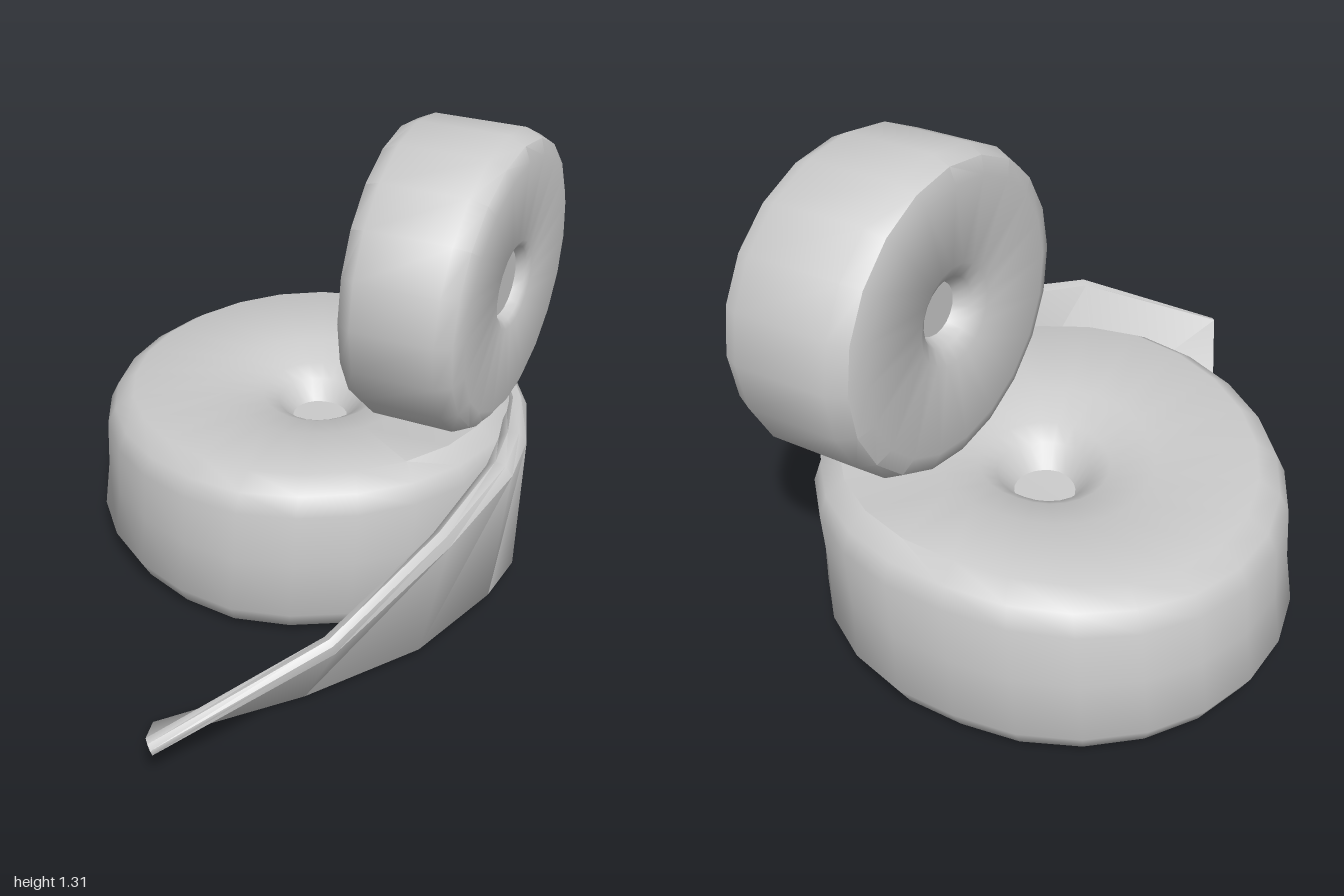
import * as THREE from 'three';
import { toCreasedNormals } from 'three/addons/utils/BufferGeometryUtils.js';

const material = new THREE.MeshStandardMaterial({ color: 0xcccccc });
const V = (x, y, z) => new THREE.Vector3(x, y, z);

// Dished roll with soft rims and flat-bottomed dimples; warp moves each vertex by a rule
function rollGeometry(profile, segments, warp) {
  const geometry = new THREE.LatheGeometry(profile.map(([r, y]) => new THREE.Vector2(r, y)), segments);
  const p = geometry.attributes.position;
  const v = new THREE.Vector3();
  for (let i = 0; i < p.count; i++) {
    v.fromBufferAttribute(p, i);
    warp(v);
    p.setXYZ(i, v.x, v.y, v.z);
  }
  return toCreasedNormals(geometry, 0.78);
}

// Thin bevelled strip lofted between an outer bottom edge and an outer top edge
function stripGeometry(stations) {
  const section = [[0.05, 0], [0.95, 0], [1, 0.3], [1, 0.7], [0.95, 1], [0.05, 1], [0, 0.7], [0, 0.3]];
  const n = section.length, last = stations.length - 1;
  const positions = [], index = [];
  stations.forEach(({ bottom, top, thick }, i) => {
    const a = stations[Math.max(i - 1, 0)], b = stations[Math.min(i + 1, last)];
    const along = b.top.clone().add(b.bottom).sub(a.top).sub(a.bottom);
    const inward = along.cross(top.clone().sub(bottom)).normalize().multiplyScalar(thick);
    for (const [s, t] of section) {
      positions.push(...bottom.clone().lerp(top, s).addScaledVector(inward, t).toArray());
    }
  });
  for (let i = 0; i < last; i++) {
    for (let j = 0; j < n; j++) {
      const a = i * n + j, b = i * n + (j + 1) % n;
      index.push(a, b, a + n, b, b + n, a + n);
    }
  }
  for (let j = 1; j < n - 1; j++) {
    index.push(0, j + 1, j, last * n, last * n + j, last * n + j + 1);
  }
  const geometry = new THREE.BufferGeometry();
  geometry.setAttribute('position', new THREE.Float32BufferAttribute(positions, 3));
  geometry.setIndex(index);
  return toCreasedNormals(geometry, 0.85);
}

export function createModel() {
  const model = new THREE.Group();

  // Large roll lying flat, slightly skewed, its top sinking toward the right-hand edge
  const largeRoll = new THREE.Mesh(rollGeometry([
    [0, 0.1], [0.11, 0.1], [0.13, 0.07], [0.17, 0.05], [0.3, 0.04], [0.57, 0.016], [0.62, 0.035],
    [0.655, 0.095], [0.645, 0.26], [0.648, 0.42], [0.625, 0.475], [0.57, 0.512],
    [0.3, 0.47], [0.18, 0.44], [0.13, 0.41], [0.085, 0.35], [0, 0.35]], 24, (v) => {
    const centre = Math.max(0, 1 - Math.hypot(v.x, v.z) / 0.6);
    const height = v.y / 0.5;
    v.y += (0.05 * v.x - 0.07 * v.x * v.x) * height;
    v.z += 0.1 * Math.min(v.x, 0) + 0.03 * Math.max(v.z, 0) - 0.03 * centre;
    v.x += 0.03 * centre - 0.025 * (1 - height);
  }), material);
  largeRoll.name = 'largeRoll';
  largeRoll.position.set(-0.01, 0, -0.345);
  model.add(largeRoll);

  // Small oval roll standing on edge, a little thicker at the back
  const smallRoll = new THREE.Mesh(rollGeometry([
    [0, -0.11], [0.08, -0.11], [0.105, -0.15], [0.15, -0.175], [0.4, -0.195], [0.45, -0.178],
    [0.475, -0.13], [0.475, 0.13], [0.45, 0.178], [0.4, 0.195],
    [0.14, 0.185], [0.12, 0.175], [0.105, 0.15], [0, 0.15]], 20, (v) => {
    const side = v.y * (1 - 0.15 * v.z - 0.06 * v.x);
    v.set(side, -0.925 * v.x, v.z);
  }), material);
  smallRoll.name = 'smallRoll';
  smallRoll.position.set(0.395, 0.88, -0.413);
  smallRoll.rotation.y = -0.13;
  model.add(smallRoll);

  // Loose end peeling off the large roll, leaning outward toward the tip
  const looseEnd = new THREE.Mesh(stripGeometry([
    { bottom: V(0.57, 0.05, -0.6), top: V(0.57, 0.49, -0.6), thick: 0.05 },
    { bottom: V(0.64, 0.05, -0.42), top: V(0.64, 0.505, -0.42), thick: 0.06 },
    { bottom: V(0.675, 0.05, -0.18), top: V(0.685, 0.52, -0.18), thick: 0.08 },
    { bottom: V(0.64, 0.06, 0.01), top: V(0.683, 0.52, 0.01), thick: 0.08 },
    { bottom: V(0.5, 0.02, 0.26), top: V(0.59, 0.485, 0.35), thick: 0.06 },
    { bottom: V(0.25, 0.005, 0.52), top: V(0.4, 0.37, 0.73), thick: 0.05 },
    { bottom: V(-0.06, 0, 0.78), top: V(0.02, 0.155, 1.0), thick: 0.045 },
  ]), material);
  looseEnd.name = 'looseEnd';
  model.add(looseEnd);

  return model;
}
